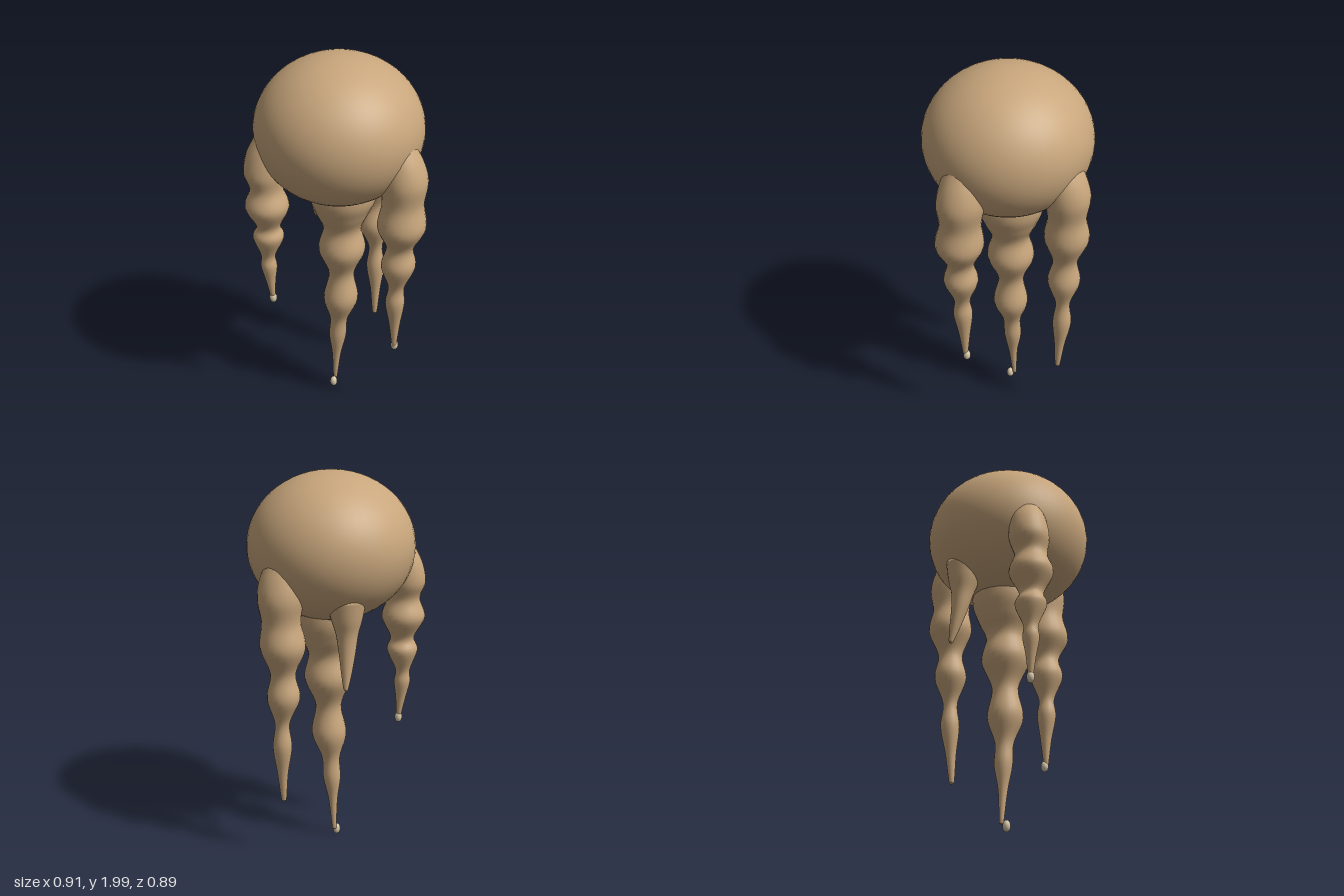
import * as THREE from 'three';
import { mergeVertices } from 'three/addons/utils/BufferGeometryUtils.js';

const stone = new THREE.MeshStandardMaterial({ color: 0xc8a67c });
stone.name = 'tan stone';
const droplet = new THREE.MeshStandardMaterial({ color: 0xd8c8a8 });
droplet.name = 'pale droplet';

// Lofts round cross-sections, each [y, x, z, radius], from the top to the tip
function stalactite(name, rows) {
  const axis = new THREE.CatmullRomCurve3(rows.map(([y, x, z]) => new THREE.Vector3(x, y, z)), false, 'catmullrom', 0.5);
  const radii = new THREE.CatmullRomCurve3(rows.map((r) => new THREE.Vector3(r[3], 0, 0)), false, 'catmullrom', 0.5);
  let geo = new THREE.CylinderGeometry(1, 1, 1, 24, (rows.length - 1) * 6);
  const pos = geo.attributes.position;
  for (let i = 0; i < pos.count; i++) {
    const t = THREE.MathUtils.clamp(0.5 - pos.getY(i), 0, 1);
    const c = axis.getPoint(t);
    const r = radii.getPoint(t).x;
    pos.setXYZ(i, c.x + pos.getX(i) * r, c.y, c.z + pos.getZ(i) * r);
  }
  geo.deleteAttribute('normal');
  geo.deleteAttribute('uv');
  geo = mergeVertices(geo, 1e-5);
  geo.computeVertexNormals();
  const mesh = new THREE.Mesh(geo, stone);
  mesh.name = name;
  return mesh;
}

function drop(name, x, y, z) {
  const mesh = new THREE.Mesh(new THREE.SphereGeometry(0.02, 16, 12), droplet);
  mesh.name = name;
  mesh.scale.y = 1.5;
  mesh.position.set(x, y, z);
  return mesh;
}

export function createModel() {
  const group = new THREE.Group();
  group.name = 'stalactiteCluster';

  // Rounded rock mass the stalactites hang from
  const dome = new THREE.Mesh(new THREE.SphereGeometry(1, 48, 32), stone);
  dome.name = 'rockDome';
  dome.scale.set(0.425, 0.375, 0.427);
  dome.position.set(-0.025, 1.625, 0.018);
  group.add(dome);

  group.add(
    stalactite('mainStalactite', [
      [1.4, -0.01, 0, 0.17], [1.25, -0.01, 0, 0.173], [1.15, -0.015, 0, 0.14], [1.05, -0.015, 0, 0.1],
      [0.92, -0.017, 0, 0.123], [0.77, -0.02, 0, 0.068], [0.61, -0.023, 0.002, 0.092], [0.47, -0.035, 0, 0.048],
      [0.35, -0.043, -0.003, 0.046], [0.22, -0.05, -0.003, 0.024], [0.05, -0.06, -0.008, 0.011],
    ]),
    stalactite('leftStalactite', [
      [1.64, 0.29, 0.12, 0.08], [1.54, 0.32, 0.125, 0.108], [1.44, 0.335, 0.13, 0.12], [1.32, 0.335, 0.135, 0.105],
      [1.19, 0.333, 0.143, 0.122], [1.07, 0.328, 0.143, 0.07], [0.96, 0.322, 0.145, 0.088], [0.83, 0.315, 0.145, 0.042],
      [0.73, 0.31, 0.145, 0.05], [0.6, 0.31, 0.14, 0.03], [0.45, 0.31, 0.138, 0.012],
    ]),
    stalactite('rightStalactite', [
      [1.62, -0.32, 0.19, 0.08], [1.53, -0.345, 0.2, 0.098], [1.43, -0.355, 0.21, 0.103], [1.34, -0.345, 0.215, 0.084],
      [1.24, -0.345, 0.215, 0.112], [1.13, -0.342, 0.215, 0.062], [1.06, -0.345, 0.212, 0.08], [0.95, -0.35, 0.212, 0.038],
      [0.88, -0.348, 0.212, 0.042], [0.79, -0.343, 0.21, 0.026], [0.68, -0.335, 0.205, 0.012],
    ]),
    stalactite('backStalactite', [
      [1.62, 0.07, -0.29, 0.08], [1.52, 0.08, -0.315, 0.106], [1.42, 0.08, -0.328, 0.115], [1.3, 0.078, -0.328, 0.098],
      [1.17, 0.07, -0.328, 0.114], [1.03, 0.073, -0.325, 0.064], [0.9, 0.073, -0.322, 0.084], [0.76, 0.082, -0.323, 0.038],
      [0.63, 0.083, -0.322, 0.049], [0.48, 0.087, -0.315, 0.028], [0.34, 0.087, -0.308, 0.015], [0.32, 0.087, -0.308, 0.009],
    ]),
    stalactite('smallStalactite', [
      [1.42, -0.2, -0.17, 0.1], [1.32, -0.205, -0.175, 0.08], [1.24, -0.21, -0.18, 0.057], [1.15, -0.217, -0.192, 0.043],
      [1.05, -0.224, -0.212, 0.028], [0.98, -0.228, -0.227, 0.015], [0.96, -0.23, -0.23, 0.009],
    ]),
  );

  // Water drops at the tips
  group.add(
    drop('mainDrop', -0.062, 0.036, 0.018),
    drop('leftDrop', 0.31, 0.45, 0.13),
    drop('rightDrop', -0.335, 0.68, 0.205),
  );
  return group;
}
